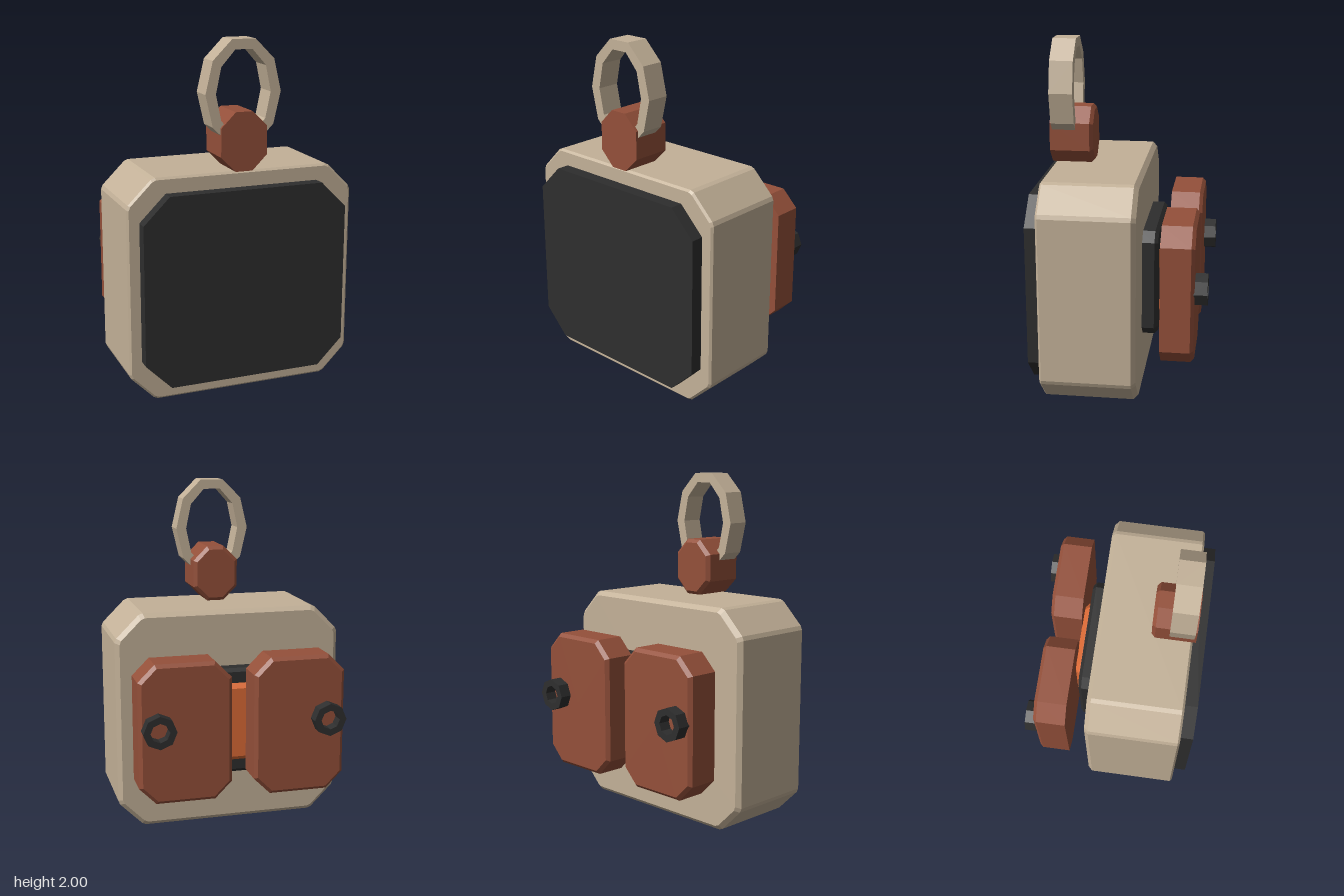
import * as THREE from 'three';

const mat = (name, color) => Object.assign(new THREE.MeshStandardMaterial({ color }), { name });

// Outline of a rectangle with cut corners, optionally with the cut edges trimmed again
function outline(w, h, cut, inset, trim) {
  const x = w / 2 - inset, y = h / 2 - inset, c = cut - inset * 0.586;
  let pts = [[x, -y + c], [x, y - c], [x - c, y], [-x + c, y],
    [-x, y - c], [-x, -y + c], [-x + c, -y], [x - c, -y]].map(p => new THREE.Vector2(...p));
  if (trim) {
    const n = pts.length;
    pts = pts.flatMap((p, i) => [pts[(i + n - 1) % n], pts[(i + 1) % n]].map(q =>
      p.clone().add(q.clone().sub(p).setLength(trim))));
  }
  return pts;
}

// Cut-corner block from zBack to zFront with a bevel at either end
function blockGeometry({ w, h, cut, zBack, zFront, backBevel = 0, frontBevel = 0, trim = 0 }) {
  const sections = [];
  if (backBevel) sections.push([zBack, backBevel]);
  sections.push([zBack + backBevel, 0], [zFront - frontBevel, 0]);
  if (frontBevel) sections.push([zFront, frontBevel]);
  const loops = sections.map(([z, inset]) =>
    outline(w, h, cut, inset, trim).map(p => [p.x, p.y, z]));
  const n = loops[0].length, v = [];
  for (let i = 0; i < n; i++) {
    const j = (i + 1) % n;
    for (let k = 0; k + 1 < loops.length; k++) {
      const [a, b, c, d] = [loops[k][i], loops[k][j], loops[k + 1][j], loops[k + 1][i]];
      v.push(...a, ...b, ...c, ...a, ...c, ...d);
    }
    const front = loops[loops.length - 1];
    v.push(0, 0, zBack, ...loops[0][j], ...loops[0][i]);
    v.push(0, 0, zFront, ...front[i], ...front[j]);
  }
  const g = new THREE.BufferGeometry();
  g.setAttribute('position', new THREE.Float32BufferAttribute(v, 3));
  g.computeVertexNormals();
  return g;
}

// Faceted elliptical ring standing in the xy plane
function ringGeometry(sides, rx, ry, ix, iy, depth) {
  const loop = (a, b) => Array.from({ length: sides }, (_, i) => {
    const t = i / sides * Math.PI * 2;
    return new THREE.Vector2(Math.cos(t) * a, Math.sin(t) * b);
  });
  const shape = new THREE.Shape(loop(rx, ry));
  shape.holes.push(new THREE.Path(loop(ix, iy)));
  return new THREE.ExtrudeGeometry(shape, { depth, bevelEnabled: false });
}

export function createModel() {
  const group = new THREE.Group();
  const tan = mat('tan', 0xc3b198);
  const black = mat('black', 0x2e2e2e);
  const rust = mat('rust', 0x94503a);
  const orange = mat('orange', 0xdd6b36);

  const add = (name, geometry, material, x, y, z = 0) => {
    const mesh = new THREE.Mesh(geometry, material);
    mesh.name = name;
    mesh.position.set(x, y, z);
    group.add(mesh);
  };

  // Case and front panel
  add('case', blockGeometry({ w: 1.34, h: 1.28, cut: 0.15, zBack: -0.12, zFront: 0.425,
    backBevel: 0.025, frontBevel: 0.012, trim: 0.014 }), tan, 0, 0.64);
  add('frontPanel', blockGeometry({ w: 1.2, h: 1.1, cut: 0.15, zBack: 0.41, zFront: 0.5 }), black, 0, 0.64);

  // Hanging lug and ring on top
  add('topLug', blockGeometry({ w: 0.27, h: 0.33, cut: 0.085, zBack: 0.19, zFront: 0.44,
    backBevel: 0.02 }), rust, 0, 1.445);
  add('hangingRing', ringGeometry(10, 0.22, 0.305, 0.16, 0.247, 0.135), tan, 0, 1.71, 0.29);

  // Stepped mount on the back
  add('backMount', blockGeometry({ w: 0.69, h: 0.63, cut: 0.055, zBack: -0.21, zFront: -0.1,
    backBevel: 0.02 }), black, 0, 0.635);
  add('backSpacer', blockGeometry({ w: 0.46, h: 0.46, cut: 0.045, zBack: -0.247, zFront: -0.2,
    backBevel: 0.025 }), orange, 0, 0.635);

  // Pair of back plates, each with a small ring
  for (const [side, s] of [['left', 1], ['right', -1]]) {
    add(side + 'BackPlate', blockGeometry({ w: 0.535, h: 0.805, cut: 0.097, zBack: -0.435,
      zFront: -0.245, backBevel: 0.02 }), rust, s * 0.3325, 0.6525);
    add(side + 'PlateRing', ringGeometry(8, 0.095, 0.095, 0.055, 0.055, 0.08), black, s * 0.492, 0.69, -0.505);
  }
  return group;
}
